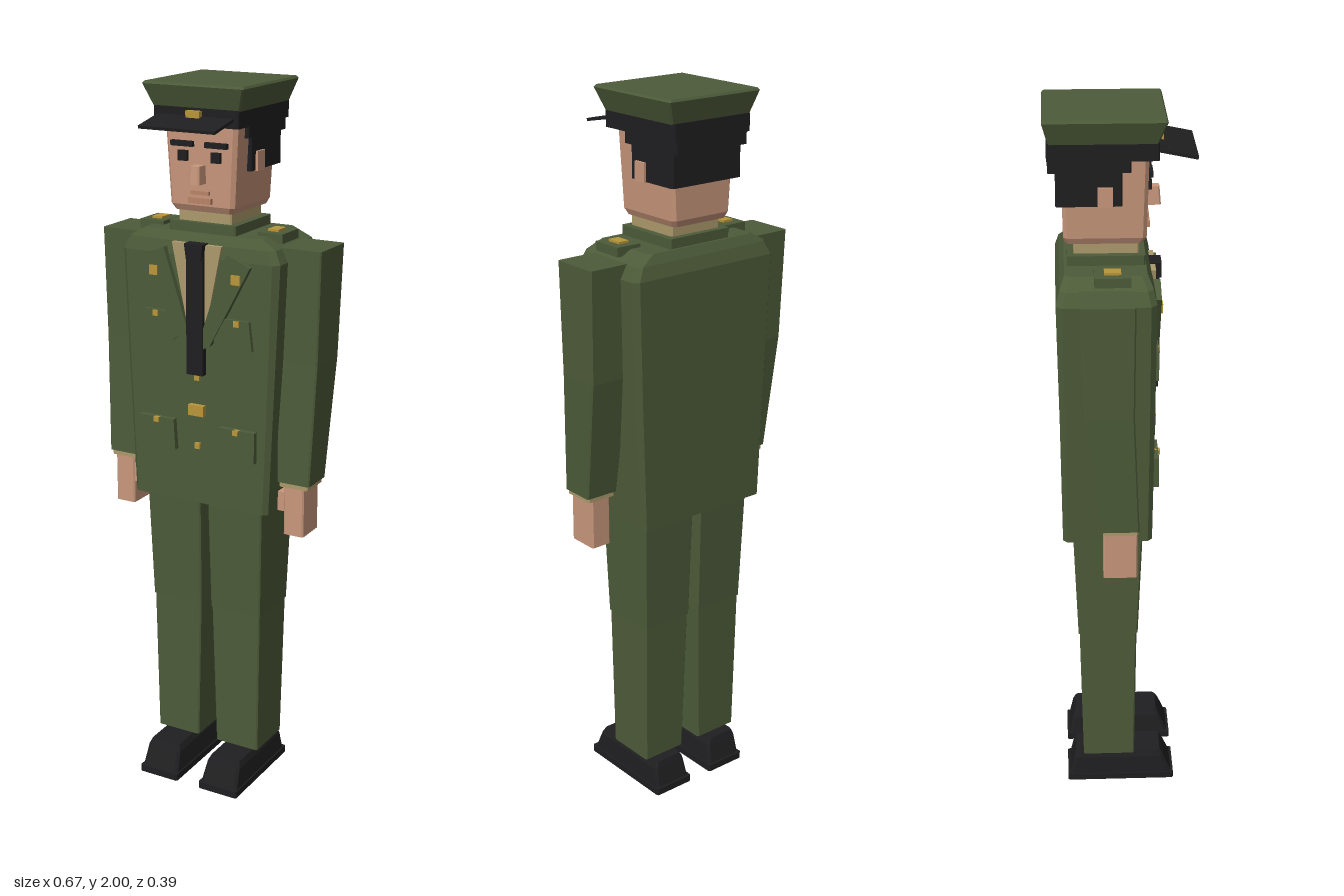
import * as THREE from 'three';

const mat = (name, color) => {
  const m = new THREE.MeshStandardMaterial({ color });
  m.name = name;
  return m;
};

// Closed solid through rectangular sections [y, x0, x1, z0, z1, corner chamfer], bottom to top
function loft(sections) {
  const rings = sections.map(([y, x0, x1, z0, z1, c = 0.004]) => [
    [x0 + c, y, z1], [x1 - c, y, z1], [x1, y, z1 - c], [x1, y, z0 + c],
    [x1 - c, y, z0], [x0 + c, y, z0], [x0, y, z0 + c], [x0, y, z1 - c],
  ]);
  const pos = [];
  const tri = (a, b, c) => pos.push(...a, ...b, ...c);
  for (let r = 0; r < rings.length - 1; r++) {
    const lo = rings[r], hi = rings[r + 1];
    for (let i = 0; i < 8; i++) {
      const j = (i + 1) % 8;
      tri(lo[i], lo[j], hi[j]);
      tri(lo[i], hi[j], hi[i]);
    }
  }
  const top = rings[rings.length - 1], bottom = rings[0];
  for (let i = 1; i < 7; i++) {
    tri(top[0], top[i], top[i + 1]);
    tri(bottom[0], bottom[i + 1], bottom[i]);
  }
  const g = new THREE.BufferGeometry();
  g.setAttribute('position', new THREE.Float32BufferAttribute(pos, 3));
  g.computeVertexNormals();
  return g;
}

// Flat outline in the front plane, thickened from z0 to z1
function plate(points, z0, z1) {
  const shape = new THREE.Shape(points.map(([x, y]) => new THREE.Vector2(x, y)));
  return new THREE.ExtrudeGeometry(shape, { depth: z1 - z0, bevelEnabled: false }).translate(0, 0, z0);
}

const block = (x0, x1, y0, y1, z0, z1) =>
  new THREE.BoxGeometry(x1 - x0, y1 - y0, z1 - z0).translate((x0 + x1) / 2, (y0 + y1) / 2, (z0 + z1) / 2);

export function createModel() {
  const model = new THREE.Group();
  model.name = 'officer';
  const green = mat('uniform green', 0x4d5b39);
  const skin = mat('skin', 0xc9977c);
  const lip = mat('lip', 0xb98468);
  const black = mat('black', 0x1f1f21);
  const tan = mat('shirt tan', 0xad9a6c);
  const gold = mat('gold', 0xb8963a);

  const add = (name, geometry, material) => {
    const m = new THREE.Mesh(geometry, material);
    m.name = name;
    model.add(m);
    return m;
  };
  const flip = (s, secs) => secs.map(([y, a, b, ...rest]) => (s > 0 ? [y, a, b, ...rest] : [y, -b, -a, ...rest]));
  const flipPts = (s, pts) => pts.map(([x, y]) => [s * x, y]);

  // Coat
  add('coatSkirt', loft([
    [0.855, -0.21, 0.21, -0.16, 0.082, 0.012],
    [1.22, -0.225, 0.225, -0.163, 0.086, 0.014],
  ]), green);
  add('coatChest', loft([
    [1.22, -0.225, 0.225, -0.163, 0.086, 0.014],
    [1.55, -0.238, 0.238, -0.168, 0.088, 0.016],
    [1.585, -0.22, 0.22, -0.158, 0.08, 0.016],
    [1.61, -0.175, 0.175, -0.145, 0.066, 0.014],
  ]), green);
  add('coatCollar', loft([
    [1.6, -0.1, 0.1, -0.138, 0.064], [1.636, -0.1, 0.1, -0.138, 0.064],
  ]), green);
  add('shirtCollar', loft([
    [1.63, -0.08, 0.08, -0.12, 0.048], [1.668, -0.08, 0.08, -0.12, 0.048],
  ]), tan);

  // Shirt front and tie
  add('shirtFront', plate([[-0.075, 1.585], [-0.02, 1.32], [0.02, 1.32], [0.075, 1.585]], 0.078, 0.093), tan);
  add('tie', block(-0.025, 0.025, 1.23, 1.56, 0.085, 0.105), black);
  add('tieKnot', plate([[-0.022, 1.545], [0.022, 1.545], [0.028, 1.588], [-0.028, 1.588]], 0.078, 0.11), black);

  // Coat buttons and belt buckle
  add('buckle', block(-0.024, 0.024, 1.113, 1.143, 0.08, 0.1), gold);
  for (const y of [1.22, 1.025]) add('coatButton', block(-0.008, 0.008, y - 0.008, y + 0.008, 0.08, 0.094), gold);

  for (const s of [1, -1]) {
    const side = s > 0 ? 'left' : 'right';
    const box = (name, x0, x1, y0, y1, z0, z1, m) =>
      add(side + name, block(Math.min(s * x0, s * x1), Math.max(s * x0, s * x1), y0, y1, z0, z1), m);
    const solid = (name, secs, m) => add(side + name, loft(flip(s, secs)), m);

    // Lapel, pockets and their buttons
    add(side + 'Lapel', plate(flipPts(s, [
      [0.165, 1.54], [0.095, 1.57], [0.025, 1.36], [0.025, 1.305], [0.045, 1.315],
    ]), 0.08, 0.103), green);
    add(side + 'BreastPocket', plate(flipPts(s, [
      [0.16, 1.395], [0.07, 1.395], [0.055, 1.33], [0.075, 1.315], [0.17, 1.315],
    ]), 0.08, 0.098), green);
    add(side + 'LowerPocket', plate(flipPts(s, [
      [0.18, 1.092], [0.07, 1.092], [0.065, 1.005], [0.18, 1.005],
    ]), 0.08, 0.1), green);
    box('LapelPin', 0.112, 0.138, 1.492, 1.518, 0.095, 0.108, gold);
    box('BreastButton', 0.116, 0.132, 1.378, 1.394, 0.09, 0.102, gold);
    box('PocketButton', 0.116, 0.132, 1.078, 1.092, 0.09, 0.105, gold);

    // Shoulder strap
    box('Epaulette', 0.143, 0.217, 1.595, 1.62, -0.07, 0.022, green);
    box('EpaulettePin', 0.162, 0.193, 1.618, 1.626, -0.045, -0.002, gold);

    // Arm
    solid('UpperArm', [
      [1.28, 0.208, 0.327, -0.1, 0.028], [1.587, 0.215, 0.333, -0.11, 0.03],
    ], green);
    solid('LowerArm', [
      [0.945, 0.22, 0.317, -0.058, 0.042], [1.28, 0.208, 0.327, -0.1, 0.028],
    ], green);
    solid('ShirtCuff', [
      [0.932, 0.225, 0.311, -0.054, 0.039], [0.95, 0.225, 0.311, -0.054, 0.039],
    ], tan);
    solid('Hand', [
      [0.795, 0.24, 0.3, -0.053, 0.038], [0.935, 0.24, 0.3, -0.053, 0.038],
    ], skin);
    box('Thumb', 0.22, 0.242, 0.86, 0.915, -0.005, 0.034, skin);

    // Leg
    solid('UpperLeg', [
      [0.53, 0.016, 0.173, -0.121, 0.046], [0.87, 0.012, 0.182, -0.133, 0.058],
    ], green);
    solid('LowerLeg', [
      [0.1, 0.03, 0.165, -0.11, 0.038], [0.533, 0.018, 0.171, -0.118, 0.043],
    ], green);

    // Shoe
    solid('Sole', [
      [0, 0.036, 0.16, -0.157, 0.155], [0.02, 0.036, 0.16, -0.157, 0.155],
    ], black);
    solid('Shoe', [
      [0.02, 0.04, 0.156, -0.15, 0.148, 0.008], [0.075, 0.047, 0.152, -0.138, 0.125, 0.008],
      [0.093, 0.055, 0.145, -0.132, 0.115, 0.008],
    ], black);

    // Face details
    box('Eyebrow', 0.018, 0.083, 1.836, 1.85, 0.065, 0.083, black);
    box('Eye', 0.036, 0.063, 1.798, 1.825, 0.065, 0.08, black);
    box('Ear', 0.095, 0.121, 1.77, 1.822, -0.058, -0.02, skin);
  }

  // Head
  add('head', loft([
    [1.665, -0.088, 0.088, -0.14, 0.058, 0.01],
    [1.682, -0.096, 0.096, -0.146, 0.067, 0.01],
    [1.9, -0.108, 0.108, -0.15, 0.072, 0.01],
  ]), skin);
  add('nose', loft([
    [1.742, -0.016, 0.016, 0.06, 0.107], [1.79, -0.014, 0.014, 0.06, 0.103],
  ]), skin);
  add('lowerLip', block(-0.034, 0.034, 1.689, 1.704, 0.06, 0.078), lip);
  add('upperLip', block(-0.027, 0.027, 1.712, 1.722, 0.06, 0.076), lip);

  // Hair
  add('hairUpper', loft([[1.86, -0.118, 0.118, -0.183, 0.026], [1.9, -0.118, 0.118, -0.183, 0.026]]), black);
  add('hairLower', loft([[1.772, -0.114, 0.114, -0.164, 0.004], [1.865, -0.114, 0.114, -0.164, 0.004]]), black);

  // Cap
  add('capBand', loft([[1.892, -0.126, 0.126, -0.185, 0.096], [1.938, -0.126, 0.126, -0.185, 0.096]]), black);
  add('capCrown', loft([
    [1.936, -0.128, 0.128, -0.18, 0.093], [1.994, -0.149, 0.149, -0.195, 0.115], [2, -0.145, 0.145, -0.191, 0.111],
  ]), green);
  const visor = add('capVisor', new THREE.BoxGeometry(0.224, 0.008, 0.11), black);
  visor.position.set(0, 1.905, 0.139);
  visor.rotation.x = 0.2;
  add('capBadge', block(-0.02, 0.02, 1.912, 1.932, 0.09, 0.112), gold);

  return model;
}
